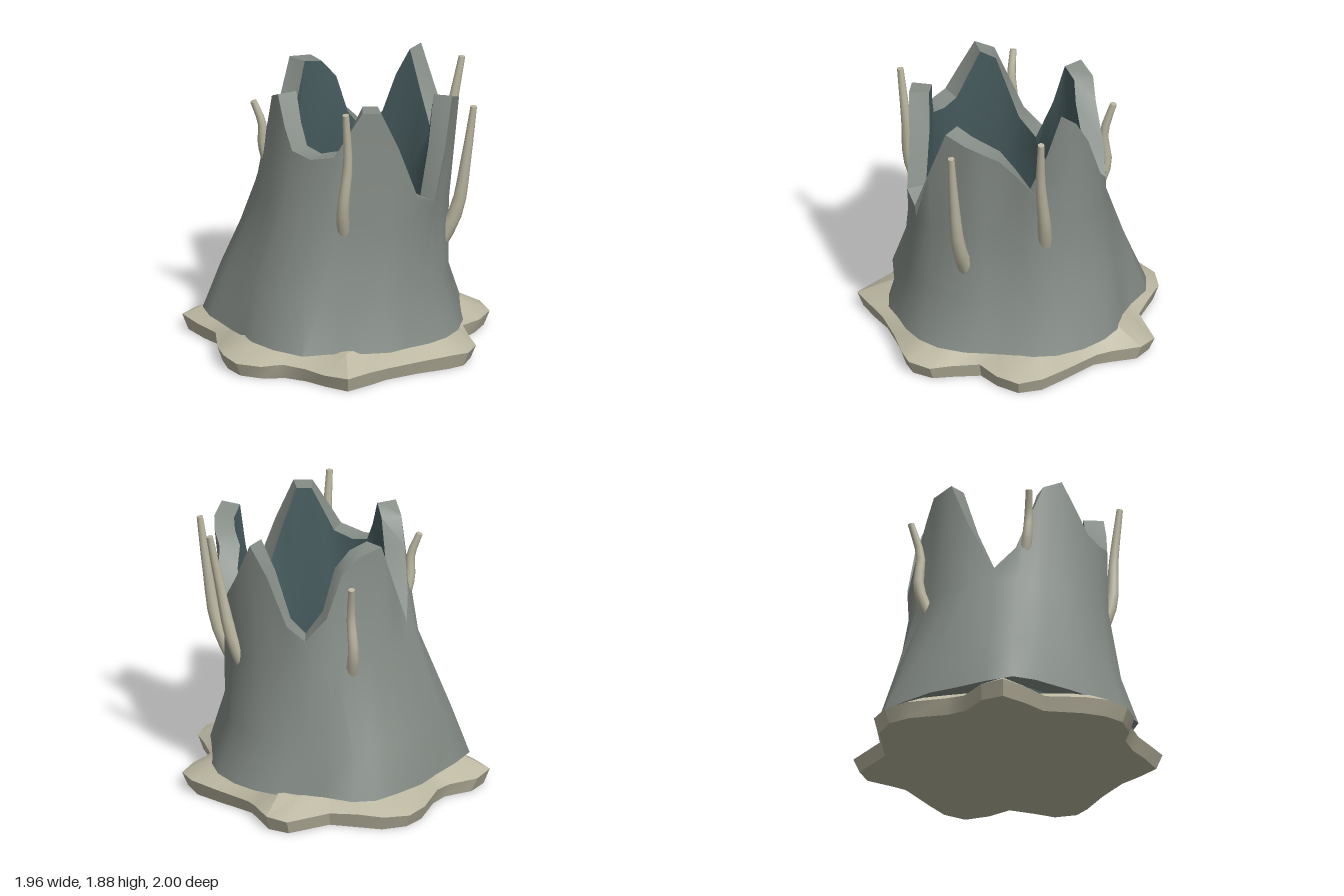
import * as THREE from 'three';
import { toCreasedNormals } from 'three/addons/utils/BufferGeometryUtils.js';

const mat = (color) => new THREE.MeshStandardMaterial({ color, roughness: 0.9 });
const bark = mat(0x868d87), hollow = mat(0x4a5f62), cream = mat(0xbab6a0);

// One row per column of the trunk: angle, rim radius, rim height, foot radius
const COLUMNS = [
  [-8, .64, 1.83, .83], [3, .66, 1.5, .835], [14, .68, 1.18, .82], [25, .67, 1.24, .8],
  [35, .62, 1.58, .82], [46, .61, 1.84, .8], [58, .6, 1.84, .78], [67, .62, 1.68, .82],
  [75, .64, 1.53, .88], [90, .65, 1.49, .86], [103, .66, 1.52, .84], [111, .65, 1.66, .82],
  [121, .635, 1.85, .83], [133, .63, 1.79, .86], [140, .64, 1.6, .9], [150, .66, 1.32, .94],
  [162, .68, 1.17, .88], [177, .67, 1.5, .84], [189, .67, 1.83, .86], [204, .66, 1.8, .88],
  [215, .64, 1.68, .92], [225, .68, 1.4, .9], [237, .7, 1.25, .81], [247, .7, 1.35, .79],
  [259, .68, 1.68, .84], [270, .68, 1.88, .85], [282, .66, 1.6, .85], [295, .65, 1.38, .84],
  [306, .63, 1.54, .81], [318, .59, 1.66, .77], [329, .62, 1.73, .77], [339, .64, 1.78, .8],
];

// Outline of the root plate, x and z
const PLATE = [
  [.98, 0], [.93, .11], [.8, .3], [.68, .52], [.64, .67], [.58, .84], [.4, .85], [.24, .84],
  [.08, .87], [-.03, .96], [-.2, 1], [-.34, .94], [-.46, .83], [-.62, .61], [-.79, .56], [-.97, .48],
  [-.98, .32], [-.88, .14], [-.88, 0], [-.96, -.26], [-.95, -.42], [-.84, -.56], [-.67, -.63], [-.5, -.7],
  [-.35, -.98], [-.2, -1], [-.03, -.89], [.06, -.84], [.35, -.82], [.54, -.8], [.68, -.71], [.71, -.54],
  [.69, -.37], [.83, -.24], [.94, -.15],
];

// Skin a series of closed rings, keeping sharp edges sharp
function loft(rings, crease) {
  const n = rings[0].length, index = [];
  for (let k = 0; k < rings.length - 1; k++) {
    for (let i = 0; i < n; i++) {
      const a = k * n + i, b = k * n + (i + 1) % n, c = a + n, d = b + n;
      index.push(a, c, b, b, c, d);
    }
  }
  const g = new THREE.BufferGeometry();
  g.setAttribute('position', new THREE.Float32BufferAttribute(rings.flat().flatMap((p) => [p.x, p.y, p.z]), 3));
  g.setIndex(index);
  return toCreasedNormals(g, crease);
}

// Trunk levels: height (null = rim), blend from foot to rim radius, centre x and z
const LEVELS = [[.19, 0, 0, 0], [.52, .5, -.015, .01], [1.05, 1, .075, 0], [null, 1, .13, -.04]];

function trunkRing([y, blend, cx, cz], inset) {
  return COLUMNS.map(([deg, top, rim, foot]) => {
    const a = THREE.MathUtils.degToRad(deg);
    const r = THREE.MathUtils.lerp(foot, top, blend) - inset;
    return new THREE.Vector3(cx + r * Math.cos(a), y ?? rim, cz + r * Math.sin(a));
  });
}

// Plate ring with a wavy height; small rings drift to the floor's centre
function plateRing(scale, height, wave) {
  return PLATE.map(([x, z], i) => new THREE.Vector3(
    x * scale - .04 * (1 - scale), height + wave * Math.sin(i * 1.8), z * scale));
}

// Tapered, bent thorn with closed ends
function thorn(points, r0, r1) {
  const curve = new THREE.CatmullRomCurve3(points.map((p) => new THREE.Vector3(...p)));
  const steps = 10, sides = 10;
  const frames = curve.computeFrenetFrames(steps);
  const ring = (k, r) => {
    const c = curve.getPointAt(k / steps);
    return Array.from({ length: sides }, (_, i) => {
      const a = (i / sides) * Math.PI * 2;
      return c.clone()
        .addScaledVector(frames.normals[k], r * Math.cos(a))
        .addScaledVector(frames.binormals[k], -r * Math.sin(a));
    });
  };
  const rings = [ring(0, 0)];
  for (let k = 0; k <= steps; k++) rings.push(ring(k, THREE.MathUtils.lerp(r0, r1, k / steps)));
  rings.push(ring(steps, 0));
  return loft(rings, 0.9);
}

export function createModel() {
  const model = new THREE.Group();
  const add = (name, geometry, material) => {
    const mesh = new THREE.Mesh(geometry, material);
    mesh.name = name;
    model.add(mesh);
  };

  // Root plate: flat underside, flared edge, grooved top
  add('rootPlate', loft([
    plateRing(0, 0, 0),
    plateRing(.96, 0, 0),
    plateRing(1, .1, .007),
    plateRing(.8, .2, .013),
    plateRing(.06, .2, .02),
    plateRing(0, .2, 0),
  ], 0.5), cream);

  // Trunk: underside, outer wall and the broken rim
  const wall = .135;
  add('trunkBark', loft([
    trunkRing(LEVELS[0], wall),
    ...LEVELS.map((l) => trunkRing(l, 0)),
    trunkRing(LEVELS[3], wall),
  ], 0.7), bark);

  // Hollow inside of the trunk
  add('trunkHollow', loft([...LEVELS].reverse().map((l) => trunkRing(l, wall)), 0.7), hollow);

  // Thorns growing through the wall, from root to tip
  const thorns = [
    [[[.2, .7, -.48], [.33, 1.1, -.62], [.41, 1.5, -.66], [.46, 1.86, -.71]], .06],
    [[[.48, .5, -.14], [.73, .97, -.22], [.8, 1.35, -.24], [.85, 1.74, -.26]], .065],
    [[[.3, .85, .46], [.36, 1.15, .57], [.4, 1.5, .57], [.41, 1.87, .61]], .05],
    [[[-.36, 1.15, .3], [-.41, 1.4, .36], [-.41, 1.55, .37], [-.46, 1.71, .4]], .045],
    [[[-.38, .8, -.3], [-.49, 1.15, -.41], [-.47, 1.4, -.41], [-.51, 1.63, -.46]], .05],
  ];
  thorns.forEach(([path, r]) => add('thorn', thorn(path, r, .022), cream));

  return model;
}
